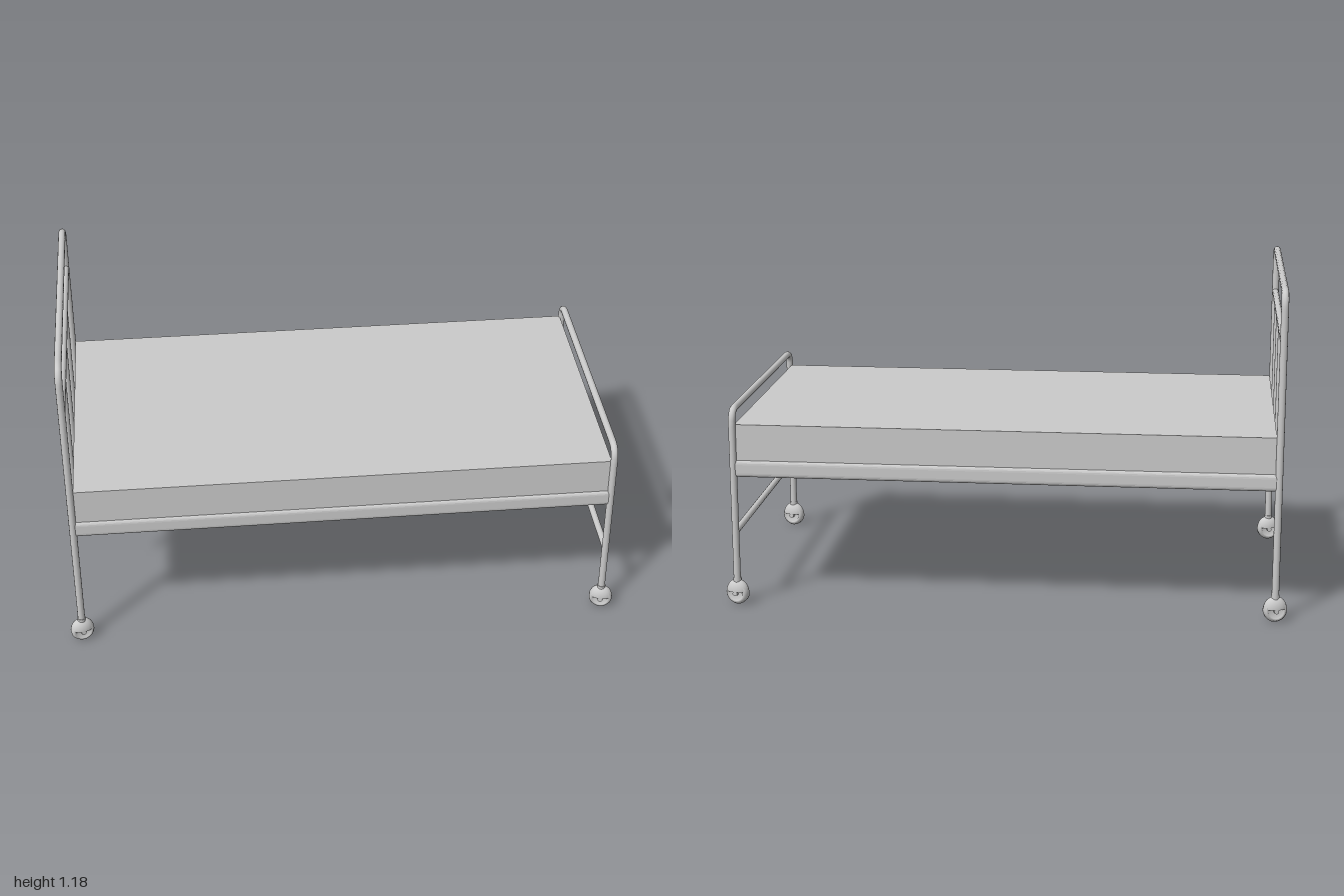
import * as THREE from 'three';

const V = (x, y, z) => new THREE.Vector3(x, y, z);
const material = new THREE.MeshStandardMaterial({ color: 0xcccccc });

function add(parent, name, geometry, x = 0, y = 0, z = 0) {
  const mesh = new THREE.Mesh(geometry, material);
  mesh.name = name;
  mesh.position.set(x, y, z);
  parent.add(mesh);
  return mesh;
}

// Straight round bar between two points
function bar(parent, name, a, b, radius) {
  const mesh = add(parent, name, new THREE.CylinderGeometry(radius, radius, a.distanceTo(b), 12));
  mesh.position.copy(a).lerp(b, 0.5);
  mesh.quaternion.setFromUnitVectors(V(0, 1, 0), b.clone().sub(a).normalize());
  return mesh;
}

// Bent tube: leg up, rounded corner, across, and down again
function hoop(parent, name, x, top, z = 0.482, r = 0.05, foot = 0.08) {
  const path = new THREE.CurvePath();
  const pts = [V(x, foot, z), V(x, top - r, z), V(x, top, z - r), V(x, top, r - z), V(x, top - r, -z), V(x, foot, -z)];
  // Each leg is split into short pieces of curve so the corners stay round
  const corner = (a, c, b) => new THREE.QuadraticBezierCurve3(a, c, b).getPoints(7);
  const line = [pts[0], ...corner(pts[1], V(x, top, z), pts[2]), ...corner(pts[3], V(x, top, -z), pts[4]), pts[5]];
  for (let i = 1; i < line.length; i++) path.add(new THREE.LineCurve3(line[i - 1], line[i]));
  add(parent, name, new THREE.TubeGeometry(path, 220, 0.013, 12));
}

// Frame rail with a rounded outer face (+z) and a flat inner face
function railGeometry(length, height = 0.062, depth = 0.026) {
  const h = height / 2, d = depth / 2, c = 0.016;
  const s = new THREE.Shape();
  s.moveTo(-d, -h);
  s.lineTo(d - c, -h);
  s.quadraticCurveTo(d, -h, d, -h + c);
  s.lineTo(d, h - c);
  s.quadraticCurveTo(d, h, d - c, h);
  s.lineTo(-d, h);
  s.closePath();
  const g = new THREE.ExtrudeGeometry(s, { depth: length, bevelEnabled: false, curveSegments: 5 });
  g.translate(0, 0, -length / 2);
  return g.rotateY(-Math.PI / 2);
}

// Swivelling wheel under a rounded hood
function caster(parent, x, z) {
  const group = new THREE.Group();
  group.name = 'caster';
  const tyre = [[0, -0.012], [0.024, -0.012], [0.028, -0.019], [0.036, -0.017], [0.042, -0.008],
    [0.042, 0.008], [0.036, 0.017], [0.028, 0.019], [0.024, 0.012], [0, 0.012]];
  const wheel = new THREE.LatheGeometry(tyre.map(p => new THREE.Vector2(...p)), 20);
  add(group, 'wheel', wheel.rotateX(Math.PI / 2), 0, 0.046);
  const axle = new THREE.CylinderGeometry(0.009, 0.009, 0.05, 10);
  add(group, 'axle', axle.rotateX(Math.PI / 2), 0, 0.046);
  const hood = new THREE.SphereGeometry(1, 18, 8, 0, Math.PI * 2, 0, Math.PI / 2);
  hood.scale(0.042, 0.043, 0.027);
  add(group, 'hood', hood, 0, 0.052);
  const base = new THREE.CircleGeometry(1, 18).rotateX(Math.PI / 2).scale(0.042, 1, 0.027);
  add(group, 'hoodBase', base, 0, 0.052);
  add(group, 'stem', new THREE.CylinderGeometry(0.015, 0.015, 0.02, 12), 0, 0.09);
  group.position.set(x, 0, z);
  group.rotation.y = x < 0 ? 0.25 : -0.25;
  parent.add(group);
}

export function createModel() {
  const bed = new THREE.Group();
  bed.name = 'bed';
  const endX = 0.957, sideZ = 0.482;

  // Mattress
  add(bed, 'mattress', new THREE.BoxGeometry(1.89, 0.13, 0.966), 0, 0.601, 0);

  // Side rails and foot end rail
  for (const s of [-1, 1]) {
    const rail = add(bed, 'sideRail', railGeometry(1.9), 0, 0.506, s * 0.478);
    rail.rotation.y = s > 0 ? Math.PI : 0;
    // The rounded face points outward
    rail.rotation.y += railFacing;
  }
  const footRail = add(bed, 'footEndRail', railGeometry(0.95), 0.939, 0.506, 0);
  footRail.rotation.y = Math.PI / 2 + railFacing;

  // Headboard: tall hoop, crossbar and three upright bars
  const head = new THREE.Group();
  head.name = 'headboard';
  hoop(head, 'headHoop', -endX, 1.168);
  bar(head, 'headCrossbar', V(-endX, 0.998, -sideZ), V(-endX, 0.998, sideZ), 0.0125);
  for (const z of [-0.19, 0.032, 0.256]) {
    bar(head, 'headUpright', V(-endX, 0.48, z), V(-endX, 0.998, z), 0.0105);
  }
  bed.add(head);

  // Footboard: low hoop and lower crossbar
  const foot = new THREE.Group();
  foot.name = 'footboard';
  hoop(foot, 'footHoop', endX - 0.004, 0.717);
  bar(foot, 'footCrossbar', V(endX - 0.004, 0.274, -sideZ), V(endX - 0.004, 0.274, sideZ), 0.012);
  bed.add(foot);

  // Casters under the four legs
  for (const x of [-endX, endX - 0.004]) {
    for (const z of [-0.479, 0.482]) caster(bed, x, z);
  }
  return bed;
}

// Turn that brings the rounded rail face, built toward -z or +z, to the outside
const railFacing = new THREE.Vector3(1, 0, 0).applyAxisAngle(V(0, 1, 0), -Math.PI / 2).z > 0 ? Math.PI : 0;
